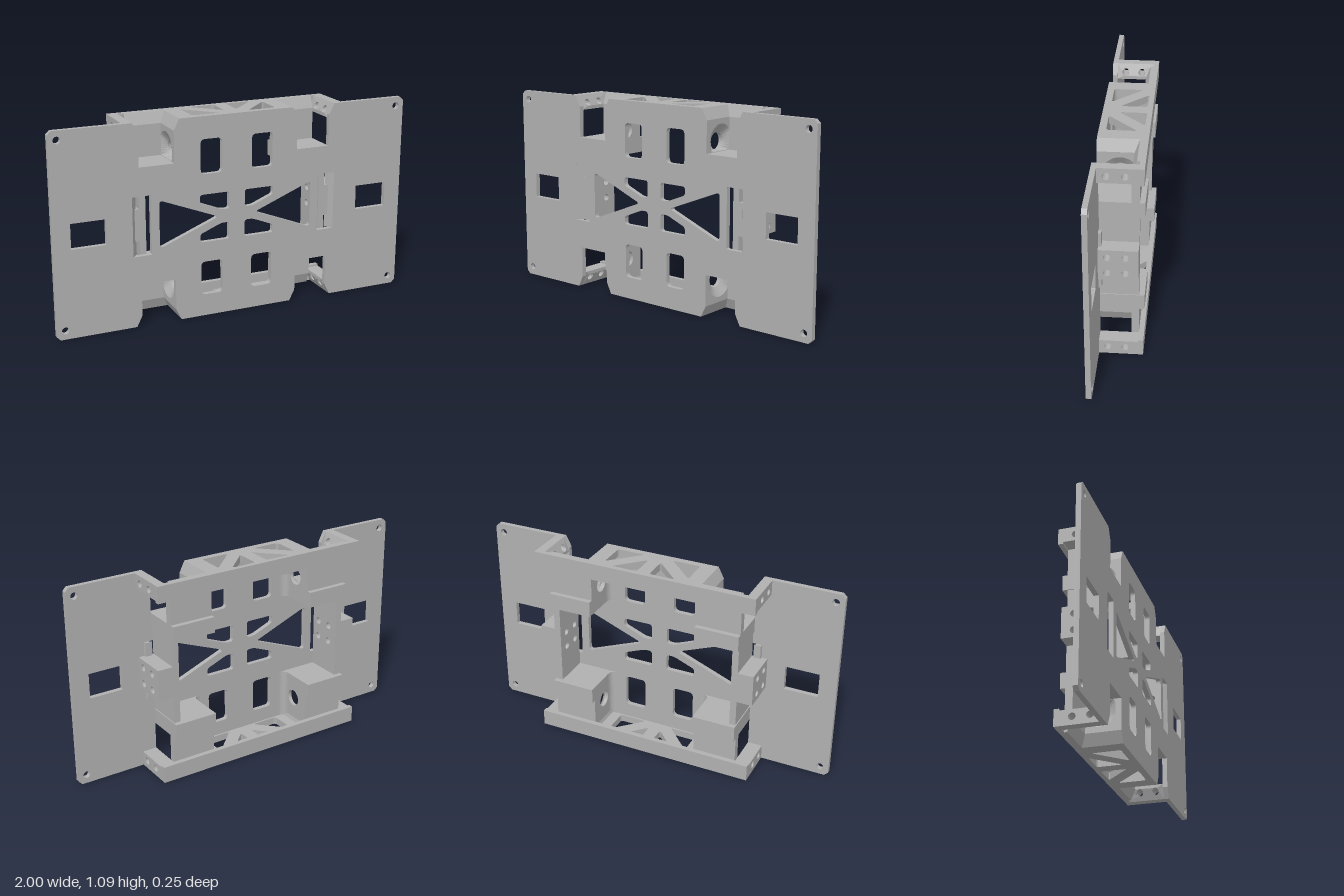
import * as THREE from 'three';

const gray = new THREE.MeshStandardMaterial({ color: 0xb0b0b0 });
gray.name = 'plain gray';

// Polygon with softened corners, for outlines and cutouts
function rounded(points, r, Type = THREE.Path) {
  const path = new Type();
  const v = points.map(p => new THREE.Vector2(p[0], p[1]));
  v.forEach((p, i) => {
    const a = v[(i + v.length - 1) % v.length], b = v[(i + 1) % v.length];
    const s = p.clone().add(a.clone().sub(p).setLength(r));
    const e = p.clone().add(b.clone().sub(p).setLength(r));
    if (i === 0) path.moveTo(s.x, s.y); else path.lineTo(s.x, s.y);
    path.quadraticCurveTo(p.x, p.y, e.x, e.y);
  });
  path.closePath();
  return path;
}
const poly = points => new THREE.Shape(points.map(p => new THREE.Vector2(p[0], p[1])));
const rect = (x0, y0, x1, y1) => [[x0, y0], [x1, y0], [x1, y1], [x0, y1]];
const circle = (x, y, r) => new THREE.Path().absarc(x, y, r, 0, Math.PI * 2, true);
const flip = (pts, sx, sy) => pts.map(p => [p[0] * sx, p[1] * sy]);

const extrude = (shape, depth) =>
  new THREE.ExtrudeGeometry(shape, { depth, bevelEnabled: false, curveSegments: 8 });
const alongZ = (shape, z0, z1) => extrude(shape, z1 - z0).translate(0, 0, z0);
// Shape coordinates are (-z, y) along x, and (x, -z) along y
const alongX = (shape, x0, x1) => extrude(shape, x1 - x0).rotateY(Math.PI / 2).translate(x0, 0, 0);
const alongY = (shape, y0, y1) => extrude(shape, y1 - y0).rotateX(-Math.PI / 2).translate(0, y0, 0);
const box = (x0, x1, y0, y1, z0, z1) => new THREE.BoxGeometry(x1 - x0, y1 - y0, z1 - z0)
  .translate((x0 + x1) / 2, (y0 + y1) / 2, (z0 + z1) / 2);

// Mirrored copy with corrected face order
function mirrored(geo, sx, sy) {
  const g = geo.index ? geo.toNonIndexed() : geo.clone();
  const p = g.attributes.position;
  for (let i = 0; i < p.count; i++) p.setXY(i, p.getX(i) * sx, p.getY(i) * sy);
  if (sx * sy < 0) {
    const a = p.array;
    for (let i = 0; i < a.length; i += 9)
      for (let k = 0; k < 3; k++) [a[i + 3 + k], a[i + 6 + k]] = [a[i + 6 + k], a[i + 3 + k]];
  }
  g.computeVertexNormals();
  return g;
}

export function createModel() {
  const model = new THREE.Group();
  const body = new THREE.Group();
  body.name = 'bracket';
  body.position.y = 0.545; // parts are laid out around the middle height
  model.add(body);
  const add = (name, geo, sx = 1, sy = 1) => {
    const m = new THREE.Mesh(mirrored(geo, sx, sy), gray);
    m.name = name;
    body.add(m);
  };
  const sides = [1, -1];

  // Face plate: rounded corners and four trapezoid notches
  const notch = [[0.57, 0.545], [0.54, 0.485], [0.54, 0.315], [0.35, 0.315], [0.35, 0.485], [0.32, 0.545]];
  const half = [[1, 0.525], [0.98, 0.545], ...notch];
  const top = [...half, ...flip(half, -1, 1).reverse()];
  const plate = poly([...top, ...flip(top, 1, -1).reverse()]);
  for (const sx of sides) {
    plate.holes.push(rounded(rect(0.72 * sx, -0.068, 0.905 * sx, 0.068), 0.002));
    plate.holes.push(rounded(rect(0.48 * sx, -0.157, 0.58 * sx, 0.163), 0.008));
    plate.holes.push(rounded(flip([[0.435, -0.13], [0.435, 0.13], [0.105, 0]], sx, 1), 0.025));
    for (const sy of sides) {
      plate.holes.push(circle(0.953 * sx, 0.497 * sy, 0.019));
      plate.holes.push(rounded(flip(rect(0.085, 0.24, 0.205, 0.425), sx, sy), 0.025));
      plate.holes.push(rounded(flip(
        [[0.045, 0.037], [0.09, 0.037], [0.21, 0.085], [0.21, 0.13], [0.045, 0.13]], sx, sy), 0.016));
    }
  }
  add('facePlate', alongZ(plate, 0.1, 0.127));

  // Trussed top and bottom walls
  const truss = poly(rect(-0.32, -0.127, 0.32, 0.127));
  for (const sx of sides) {
    truss.holes.push(rounded(flip([[0.035, 0.1], [0.175, 0.1], [0.035, -0.04]], sx, 1), 0.018));
    truss.holes.push(rounded(flip([[0.235, 0.065], [0.235, -0.09], [0.08, -0.09]], sx, 1), 0.018));
  }
  const trussGeo = alongY(truss, 0.505, 0.545);
  const rail = box(-0.62, 0.62, 0.455, 0.545, -0.127, -0.1);

  // End tab with two screw holes and a sloping inner face
  const tabShape = poly(rect(-0.1, 0.465, 0.127, 0.545));
  for (const z of [0.055, -0.035]) tabShape.holes.push(circle(-z, 0.502, 0.019));
  const tabGeo = alongX(poly(rect(0, 0, 1, 1)), 0, 1) && alongX(tabShape, 0.54, 0.62);
  const tp = tabGeo.attributes.position;
  for (let i = 0; i < tp.count; i++)
    if (tp.getX(i) < 0.58) tp.setX(i, 0.54 + Math.max(0, tp.getY(i) - 0.485) * 0.5);

  // Pocket cheek with a countersunk hole, cut square at the pocket edges
  const clamp = THREE.MathUtils.clamp, N = 32, ringIn = [], ringOut = [];
  for (let i = 0; i <= N; i++) {
    const t = i / N * Math.PI * 2, c = Math.cos(t), s = Math.sin(t);
    ringIn.push([0.32, 0.365 + 0.046 * s, 0.01 + 0.046 * c]);
    ringOut.push([0.35, clamp(0.365 + 0.092 * s, 0.317, 0.457), clamp(0.01 + 0.092 * c, -0.06, 0.097)]);
  }
  const tri = [];
  for (let i = 0; i < N; i++) {
    tri.push(...ringIn[i], ...ringIn[i + 1], ...ringOut[i]);
    tri.push(...ringOut[i], ...ringIn[i + 1], ...ringOut[i + 1]);
  }
  const sink = new THREE.BufferGeometry();
  sink.setAttribute('position', new THREE.Float32BufferAttribute(tri, 3));
  const cheek = ring => {
    const s = poly(rect(-0.127, 0.23, 0.1, 0.485));
    s.holes.push(new THREE.Path(ring.slice(0, N).map(p => new THREE.Vector2(-p[2], p[1]))));
    return s;
  };
  const cheekInner = alongX(cheek(ringIn), 0.3, 0.32);
  const cheekOuter = alongX(cheek(ringOut), 0.32, 0.35);
  const cheekTop = alongZ(poly([[0.3, 0.485], [0.35, 0.485], [0.32, 0.545], [0.28, 0.545]]), -0.1, 0.127);

  // Pocket back, shelf and the hollow fillet beside the cheek
  const pocketBack = alongX(poly([[0.1, 0.23], [0.1, 0.545], [0.085, 0.545], [0.06, 0.485], [0.06, 0.23]]), 0.3, 0.54);
  const shelf = box(0.3, 0.54, 0.23, 0.315, -0.127, 0.11);
  const filletShape = new THREE.Shape();
  filletShape.moveTo(0.3, 0.1);
  filletShape.lineTo(0.26, 0.1);
  filletShape.quadraticCurveTo(0.3, 0.1, 0.3, 0.06);
  const fillet = extrude(new THREE.Shape(filletShape.getPoints(6).map(p => new THREE.Vector2(p.x, -p.y))), 0.275)
    .rotateX(-Math.PI / 2).translate(0, 0.23, 0);

  // Side wall and drilled middle block
  const drilled = (y0, y1) => {
    const s = poly(rect(-0.1, y0, 0.1, y1));
    for (const z of [0.055, -0.035])
      for (const y of [-0.045, 0.045]) s.holes.push(circle(-z, y, 0.019));
    return s;
  };
  const wall = alongX(drilled(-0.25, 0.25), 0.5, 0.535);
  const block = alongX(drilled(-0.085, 0.088), 0.535, 0.62);
  const slotLip = alongY(poly([[0.58, -0.127], [0.548, -0.085], [0.585, -0.085], [0.59, -0.11]]), -0.157, 0.163);

  for (const sy of sides) {
    add('trussWall', trussGeo, 1, sy);
    add('rearRail', rail, 1, sy);
    for (const sx of sides) {
      add('endTab', tabGeo, sx, sy);
      add('pocketCheekInner', cheekInner, sx, sy);
      add('pocketCheekOuter', cheekOuter, sx, sy);
      add('pocketCheekTop', cheekTop, sx, sy);
      add('countersink', sink, sx, sy);
      add('pocketBack', pocketBack, sx, sy);
      add('pocketShelf', shelf, sx, sy);
      add('pocketFillet', fillet, sx, sy);
    }
  }
  for (const sx of sides) {
    add('sideWall', wall, sx);
    add('mountBlock', block, sx);
    add('slotLip', slotLip, sx);
  }
  return model;
}
